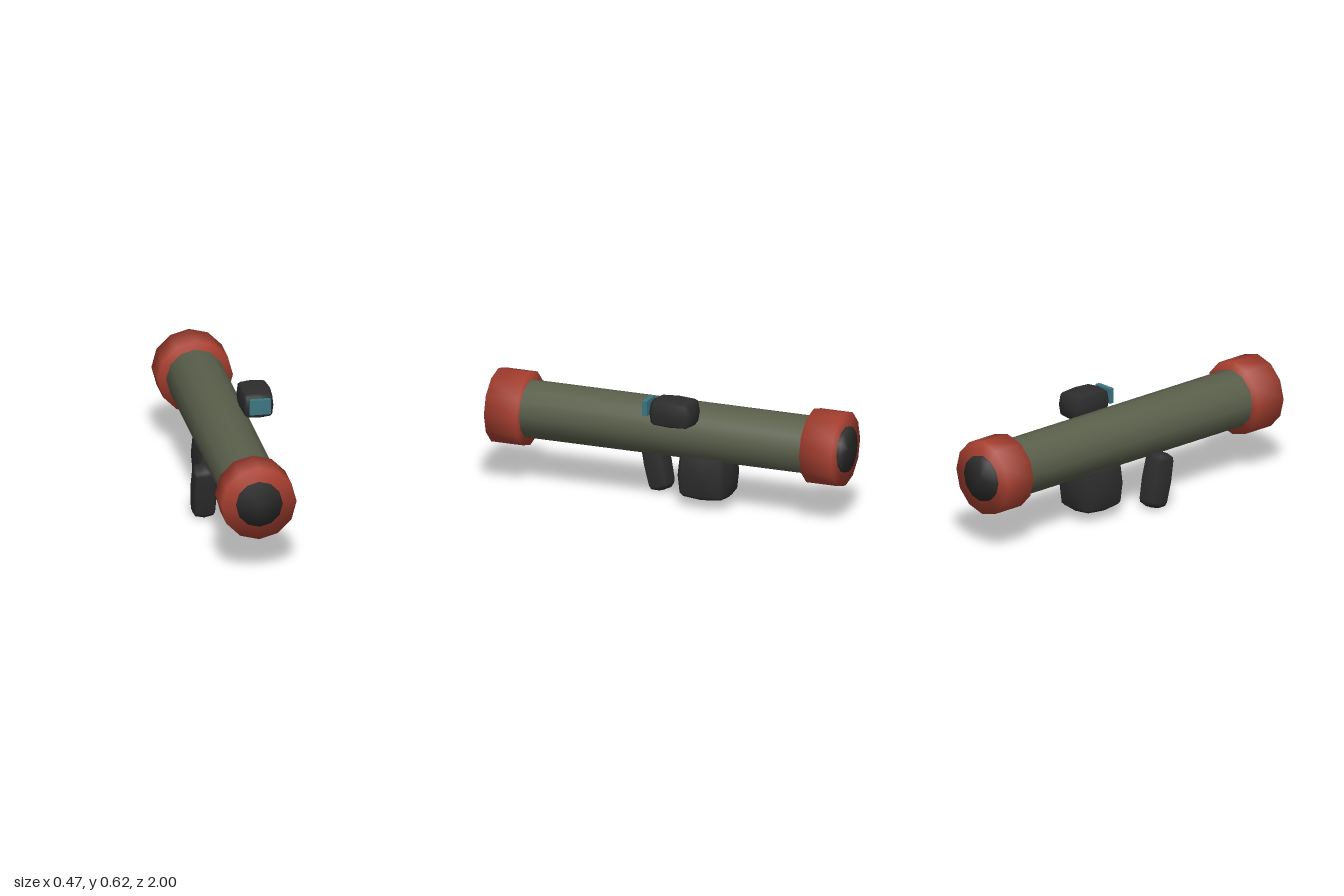
import * as THREE from 'three';
import { mergeVertices } from 'three/addons/utils/BufferGeometryUtils.js';
import { ConvexGeometry } from 'three/addons/geometries/ConvexGeometry.js';

// Weld all corners so shading runs smoothly over every edge
function weld(geometry) {
  geometry.deleteAttribute('normal');
  geometry.deleteAttribute('uv');
  const welded = mergeVertices(geometry, 1e-4);
  welded.computeVertexNormals();
  return welded;
}

// Twelve-sided cylinder lying along z
function barrel(radius, length) {
  return weld(new THREE.CylinderGeometry(radius, radius, length, 12).rotateX(Math.PI / 2));
}

// Chamfered block whose six faces bulge slightly in the middle
function pillow(width, height, depth) {
  const points = [];
  const rise = [1, 0.925, 0.86];
  const spread = [0, 0.77, 0.73];
  for (let axis = 0; axis < 3; axis++) {
    for (const side of [-1, 1]) {
      for (const u of [-1, 0, 1]) {
        for (const v of [-1, 0, 1]) {
          const k = Math.abs(u) + Math.abs(v);
          const p = [0, 0, 0];
          p[axis] = side * rise[k];
          p[(axis + 1) % 3] = u * spread[k];
          p[(axis + 2) % 3] = v * spread[k];
          points.push(new THREE.Vector3(p[0] * width / 2, p[1] * height / 2, p[2] * depth / 2));
        }
      }
    }
  }
  return weld(new ConvexGeometry(points));
}

export function createModel() {
  const model = new THREE.Group();
  model.name = 'launcher';

  const paint = (name, color) => {
    const material = new THREE.MeshStandardMaterial({ color });
    material.name = name;
    return material;
  };
  const olive = paint('olive', 0x5a5f4b);
  const red = paint('red', 0xa63f30);
  const black = paint('black', 0x2d2d2d);
  const teal = paint('teal', 0x3c7682);

  const add = (name, geometry, material, x, y, z) => {
    const mesh = new THREE.Mesh(geometry, material);
    mesh.name = name;
    mesh.position.set(x, y, z);
    model.add(mesh);
    return mesh;
  };

  // Tube with a collar and a dark bore at each end
  const cx = -0.035, cy = 0.4;
  add('tube', barrel(0.155, 1.8), olive, cx, cy, 0);
  for (const [end, side] of [['front', 1], ['rear', -1]]) {
    add(end + 'Collar', barrel(0.2, 0.18), red, cx, cy, side * 0.892);
    add(end + 'Bore', barrel(0.123, 0.16), black, cx, cy, side * 0.92);
  }

  // Raked grip, under the right side of the tube
  const grip = add('grip', pillow(0.132, 0.305, 0.125), black, -0.169, 0.149, 0.136);
  grip.rotation.x = 0.21;

  // Trigger housing behind the grip
  add('housing', pillow(0.252, 0.264, 0.29), black, cx, 0.174, -0.206);

  // Sight and its lens, on the upper left side
  add('sight', pillow(0.173, 0.148, 0.25), black, 0.1465, 0.549, -0.09);
  add('lens', new THREE.BoxGeometry(0.111, 0.081, 0.027), teal, 0.1455, 0.5635, 0.058);

  return model;
}
